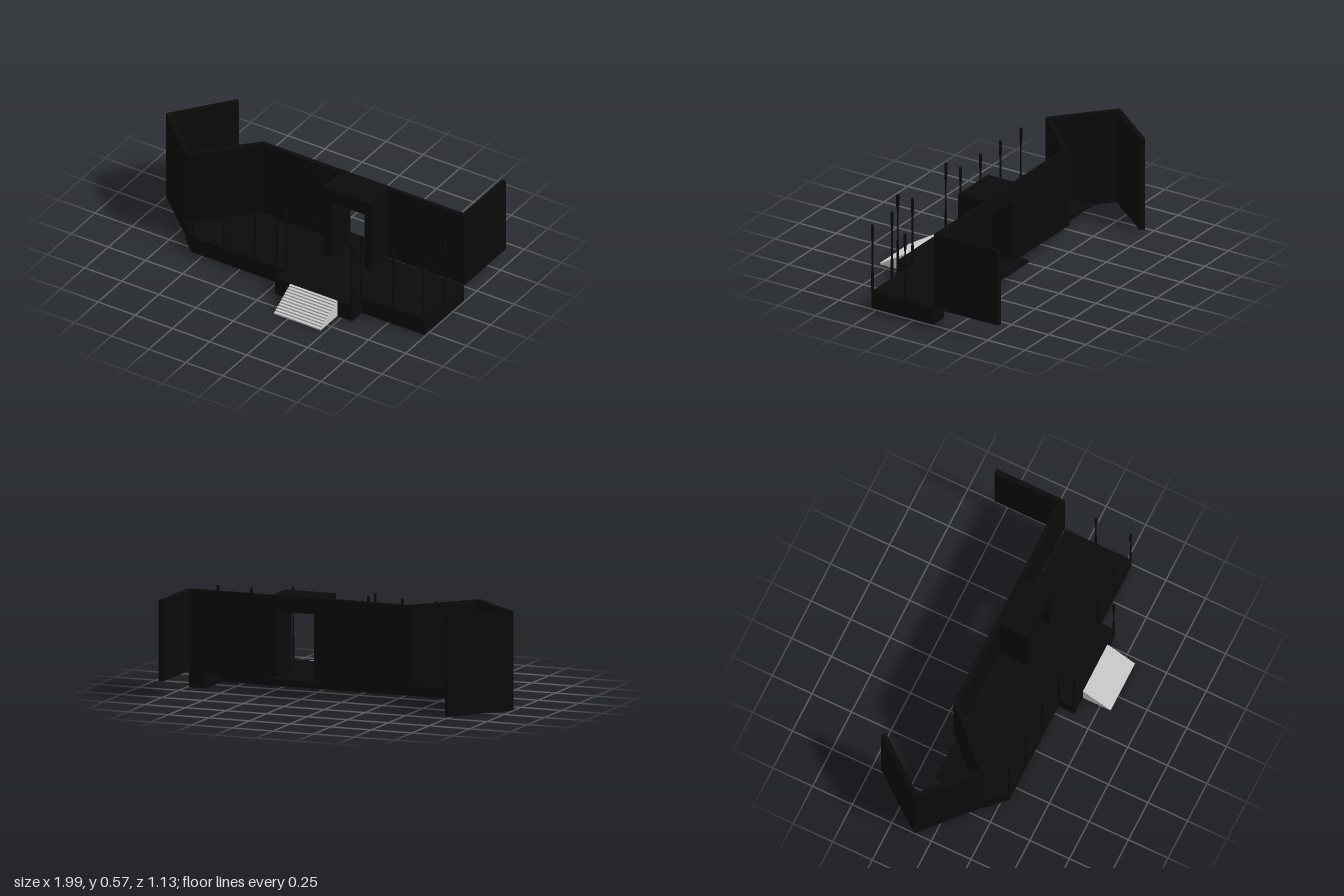
import * as THREE from 'three';

const black = new THREE.MeshStandardMaterial({ color: 0x0a0a0a });
const grey = new THREE.MeshStandardMaterial({ color: 0xcccccc });

export function createModel() {
  const model = new THREE.Group();

  const add = (name, geometry, material = black) => {
    const mesh = new THREE.Mesh(geometry, material);
    mesh.name = name;
    model.add(mesh);
    return mesh;
  };

  // box given by its limits on each axis
  const box = (name, x0, x1, y0, y1, z0, z1) =>
    add(name, new THREE.BoxGeometry(x1 - x0, y1 - y0, z1 - z0))
      .position.set((x0 + x1) / 2, (y0 + y1) / 2, (z0 + z1) / 2);

  // plan outline of [x, z] points raised from y0 to y1
  const slab = (name, plan, y0, y1) => {
    const shape = new THREE.Shape(plan.map(([x, z]) => new THREE.Vector2(x, -z)));
    const geometry = new THREE.ExtrudeGeometry(shape, { depth: y1 - y0, bevelEnabled: false });
    geometry.rotateX(-Math.PI / 2);
    geometry.translate(0, y0, 0);
    return add(name, geometry);
  };

  // standing wall of even thickness along a plan path, mitred at the bends
  const wall = (name, path, y0, y1, thickness = 0.03) => {
    const p = path.map(([x, z]) => new THREE.Vector2(x, z));
    const normal = (a, b) => new THREE.Vector2(a.y - b.y, b.x - a.x).normalize();
    const side = (s) => p.map((point, i) => {
      const before = normal(p[Math.max(i - 1, 0)], p[Math.max(i, 1)]);
      const after = normal(p[Math.min(i, p.length - 2)], p[Math.min(i + 1, p.length - 1)]);
      const mitre = before.clone().add(after).normalize();
      const q = point.clone().addScaledVector(mitre, s * thickness / 2 / mitre.dot(after));
      return [q.x, q.y];
    });
    slab(name, [...side(1), ...side(-1).reverse()], y0, y1);
  };

  const FLOOR = 0.105, TOP = 0.57;

  // stage: thin deck over a base that is set back behind
  slab('deck', [
    [-0.68, -0.13], [0.99, -0.13], [0.99, 0.287], [0.57, 0.287], [0.57, 0.39],
    [0.05, 0.39], [0.05, 0.287], [-0.58, 0.287], [-0.68, 0.19],
  ], 0.09, FLOOR);
  slab('base', [
    [-0.68, 0.1], [0.88, 0.1], [0.88, -0.13], [0.99, -0.13], [0.99, 0.287], [0.57, 0.287],
    [0.57, 0.39], [0.05, 0.39], [0.05, 0.287], [-0.58, 0.287], [-0.68, 0.19],
  ], 0, 0.09);

  // scenery walls
  wall('backWallWithDiagonal', [[0.2, -0.15], [-0.375, -0.15], [-0.675, 0.165]], 0.095, TOP);
  wall('backWallWithReturn', [[0.43, -0.15], [0.98, -0.15], [0.98, -0.567]], FLOOR, TOP, 0.028);
  wall('sideWing', [[-0.725, -0.438], [-0.98, -0.11], [-0.67, 0.168]], 0, TOP);

  // doorway
  box('doorJamb', 0.155, 0.205, FLOOR, TOP, -0.165, 0.04);
  box('doorJamb', 0.43, 0.47, FLOOR, TOP, -0.165, 0.04);
  box('doorLintel', 0.205, 0.43, 0.48, TOP, -0.165, 0.04);
  box('doorLanding', 0.155, 0.47, 0.09, FLOOR, -0.235, -0.13);

  // shallow panel mouldings, placed by centre, width and facing angle
  const frameShape = (w, h, rim) => {
    const rectangle = (a, b) => [[-a, -b], [a, -b], [a, b], [-a, b]]
      .map(([x, y]) => new THREE.Vector2(x, y));
    const shape = new THREE.Shape(rectangle(w / 2, h / 2));
    shape.holes.push(new THREE.Path(rectangle(w / 2 - rim, h / 2 - rim).reverse()));
    return shape;
  };
  for (const [x, z, width, angle] of [
    [0.70, -0.136, 0.26, 0],
    [-0.06, -0.135, 0.24, 0],
    [-0.514, 0.018, 0.3, 0.81],
  ]) {
    const frame = add('panelMoulding', new THREE.ExtrudeGeometry(
      frameShape(width, 0.37, 0.012), { depth: 0.005, bevelEnabled: false }));
    frame.position.set(x, 0.335, z);
    frame.rotation.y = angle;
  }

  // lamp posts: thick foot, slim shaft, wider lantern
  const post = new THREE.LatheGeometry([
    [0, 0], [0.008, 0], [0.008, 0.12], [0.005, 0.13], [0.005, 0.3],
    [0.009, 0.345], [0.009, 0.413], [0, 0.413],
  ].map(([r, y]) => new THREE.Vector2(r, y)), 8).toNonIndexed();
  post.computeVertexNormals();
  for (const [x, z] of [
    [-0.57, 0.282], [-0.36, 0.285], [-0.15, 0.285], [0.06, 0.285], [0.06, 0.384],
    [0.565, 0.384], [0.565, 0.285], [0.78, 0.285], [0.985, 0.285], [0.985, 0.065],
  ]) add('lampPost', post).position.set(x, FLOOR, z);

  // front steps, drawn as a side profile and extruded across
  const STEPS = 11, run = 0.175 / STEPS, rise = FLOOR / STEPS;
  const profile = new THREE.Shape();
  profile.moveTo(0, 0);
  profile.lineTo(0.175, 0);
  for (let i = 0; i < STEPS; i++) {
    profile.lineTo(0.175 - i * run, (i + 1) * rise);
    profile.lineTo(0.175 - (i + 1) * run, (i + 1) * rise);
  }
  const steps = add('frontSteps',
    new THREE.ExtrudeGeometry(profile, { depth: 0.315, bevelEnabled: false }), grey);
  steps.rotation.y = -Math.PI / 2;
  steps.position.set(0.47, 0, 0.39);

  return model;
}
